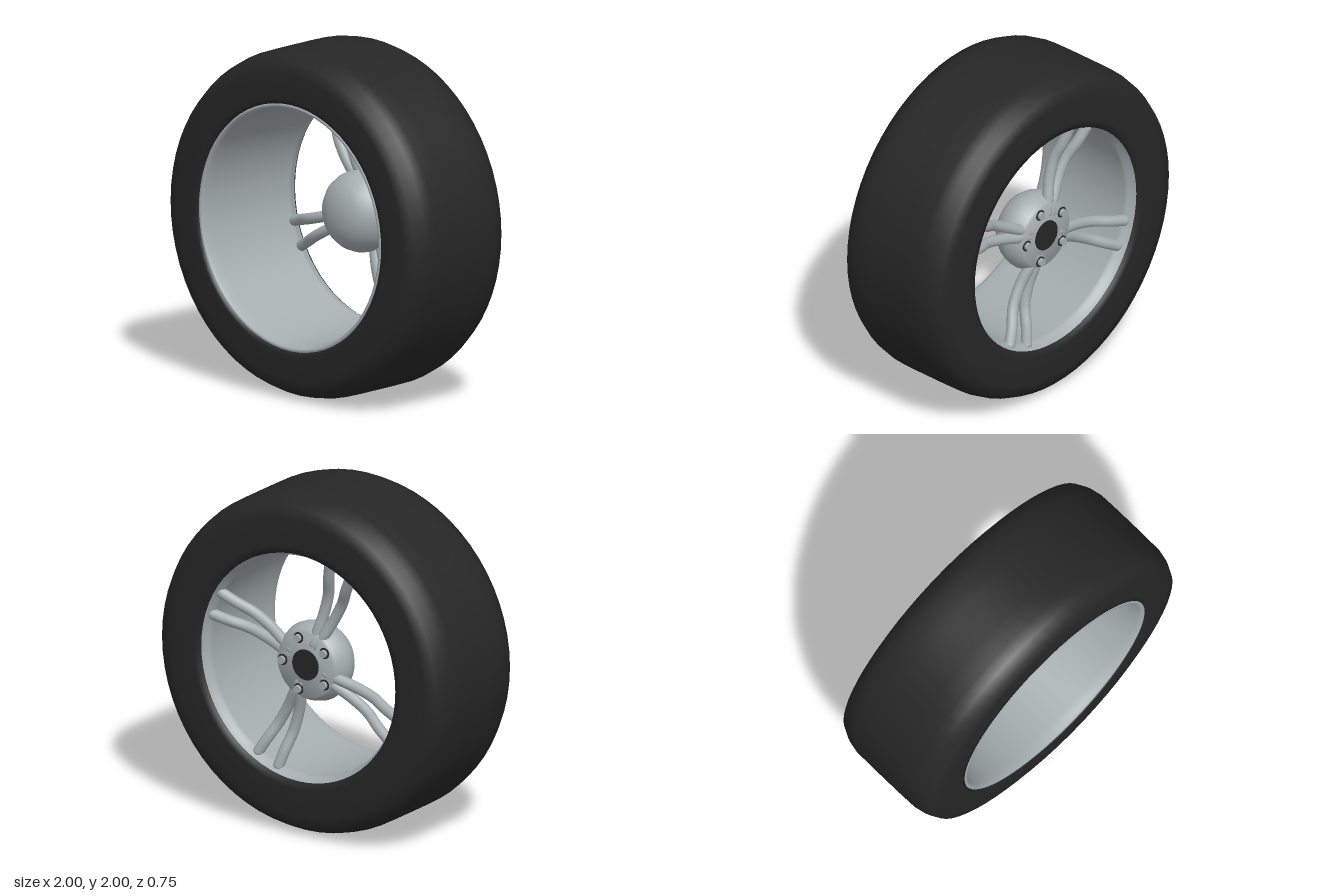
import * as THREE from 'three';
import { toCreasedNormals } from 'three/addons/utils/BufferGeometryUtils.js';

const rubber = new THREE.MeshStandardMaterial({ color: 0x262626 });
rubber.name = 'black rubber';
const alloy = new THREE.MeshStandardMaterial({ color: 0xa5adaf, side: THREE.DoubleSide });
alloy.name = 'grey alloy';

// Revolve [radius, z] pairs about the wheel axle (z)
function turned(name, profile, material, segments, crease) {
  let geo = new THREE.LatheGeometry(profile.map(([r, z]) => new THREE.Vector2(r, z)), segments);
  geo.rotateX(Math.PI / 2);
  if (crease) geo = toCreasedNormals(geo, crease);
  const mesh = new THREE.Mesh(geo, material);
  mesh.name = name;
  return mesh;
}

// Round piece lying along the axle
function disc(name, radius, depth, material, x, y, z, segments = 24) {
  const geo = new THREE.CylinderGeometry(radius, radius, depth, segments).rotateX(Math.PI / 2);
  const mesh = new THREE.Mesh(geo, material);
  mesh.name = name;
  mesh.position.set(x, y, z);
  return mesh;
}

export function createModel() {
  const model = new THREE.Group();
  model.name = 'wheel';
  const wheel = new THREE.Group();
  wheel.name = 'wheelAssembly';
  wheel.position.y = 1;
  model.add(wheel);

  // Tyre: wide flat tread, rounded shoulders, flat sidewalls
  wheel.add(turned('tyre', [
    [0.665, -0.33], [0.68, -0.372], [0.72, -0.375], [0.88, -0.375], [0.95, -0.355], [0.983, -0.29],
    [0.998, -0.22], [1, -0.1], [1, 0.1], [0.998, 0.22], [0.983, 0.29], [0.95, 0.355],
    [0.88, 0.375], [0.74, 0.375], [0.712, 0.372], [0.71, 0.33],
  ], rubber, 64));

  // Rim: flared front lip, tapering barrel, small back lip
  wheel.add(turned('rim', [
    [0.716, 0.355], [0.715, 0.37], [0.706, 0.377], [0.694, 0.374], [0.685, 0.355], [0.68, 0.3],
    [0.672, 0.1], [0.66, -0.12], [0.648, -0.29], [0.65, -0.31], [0.664, -0.33], [0.674, -0.36],
  ], alloy, 64));

  // Hub: dome on the inside, flat mounting face at the back
  wheel.add(turned('hub', [
    [0, -0.29], [0.19, -0.29], [0.203, -0.28], [0.222, -0.245], [0.235, -0.2], [0.231, -0.165],
    [0.212, -0.115], [0.178, -0.07], [0.13, -0.038], [0.07, -0.02], [0, -0.015],
  ], alloy, 40, 0.7));
  wheel.add(disc('centreCap', 0.09, 0.009, rubber, 0, 0, -0.292, 32));

  // Five wheel bolts in dark seats
  for (let i = 0; i < 5; i++) {
    const a = (i * 2 * Math.PI) / 5;
    const x = 0.16 * Math.cos(a), y = 0.16 * Math.sin(a);
    wheel.add(disc('boltSeat', 0.032, 0.009, rubber, x, y, -0.289));
    wheel.add(disc('bolt', 0.023, 0.03, alloy, x, y, -0.297, 12));
  }

  // Four pairs of curved tubular spokes
  const path = new THREE.CatmullRomCurve3([
    [0.13, -0.262], [0.2, -0.255], [0.32, -0.235], [0.45, -0.24], [0.56, -0.28], [0.655, -0.305],
  ].map(([r, z]) => new THREE.Vector3(r, 0, z)));
  const spokeGeo = new THREE.TubeGeometry(path, 24, 0.032, 12);
  for (let i = 0; i < 4; i++) {
    for (const side of [-1, 1]) {
      const spoke = new THREE.Group();
      spoke.name = 'spoke';
      spoke.rotation.z = THREE.MathUtils.degToRad(22.3 + 90 * i + 6.6 * side);
      const tube = new THREE.Mesh(spokeGeo, alloy);
      tube.name = 'spokeTube';
      spoke.add(tube);
      // Rounded ends
      for (const t of [0, 1]) {
        const end = new THREE.Mesh(new THREE.SphereGeometry(0.032, 12, 8), alloy);
        end.name = 'spokeEnd';
        end.position.copy(path.getPoint(t));
        spoke.add(end);
      }
      wheel.add(spoke);
    }
  }
  return model;
}
